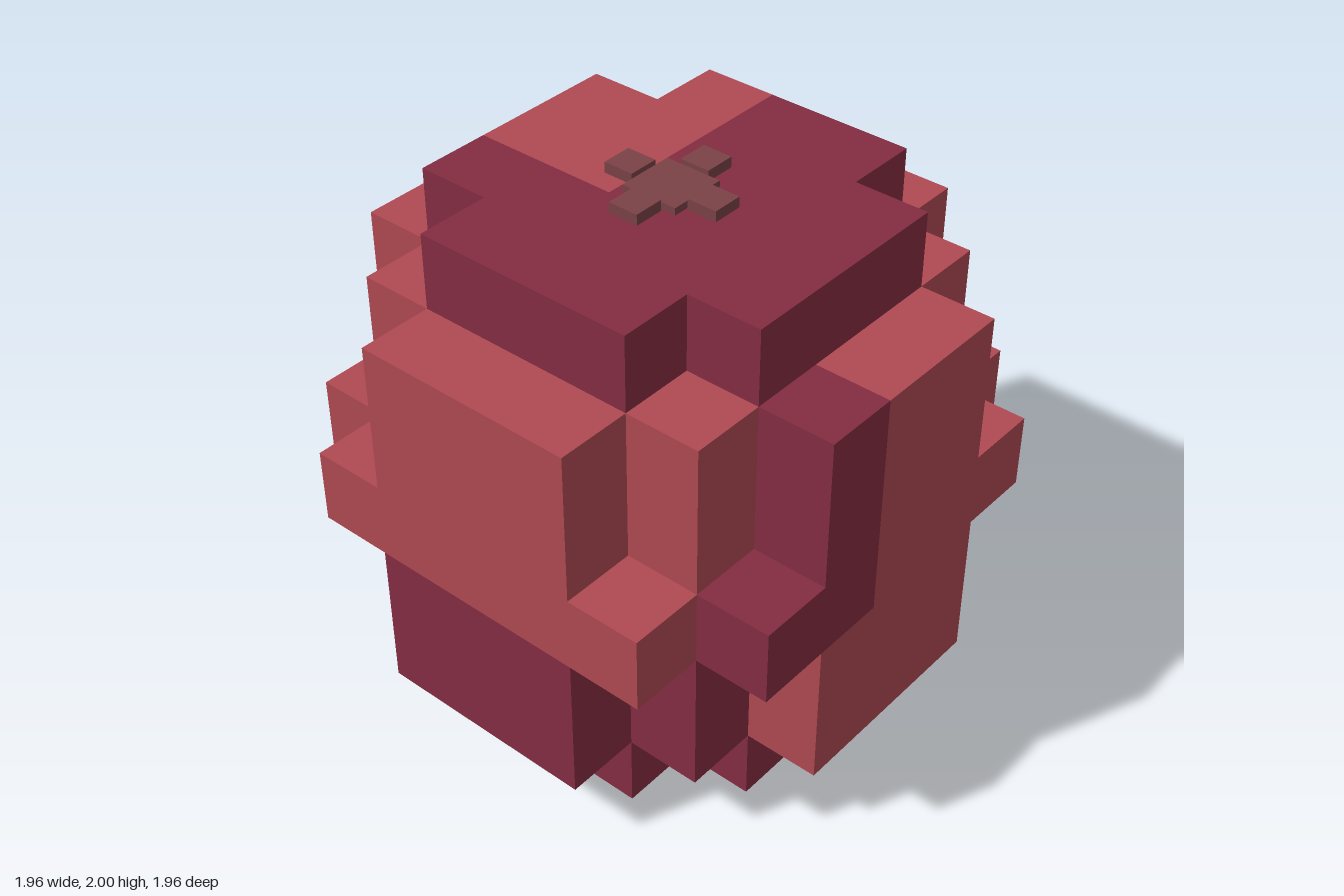
import * as THREE from 'three';
import { mergeGeometries } from 'three/addons/utils/BufferGeometryUtils.js';

const CELL = 0.28;

const lightRed = new THREE.MeshStandardMaterial({ color: 0xb04a52 });
lightRed.name = 'lightRed';
const darkRed = new THREE.MeshStandardMaterial({ color: 0x842d42 });
darkRed.name = 'darkRed';
const stemBrown = new THREE.MeshStandardMaterial({ color: 0x7a4247 });
stemBrown.name = 'stemBrown';

// Which part of the blocky fruit a cell (0..6 on each axis) belongs to, or null when empty
function partAt(x, y, z) {
  const a = Math.abs(x - 3), b = Math.abs(y - 3), c = Math.abs(z - 3);
  if (a <= 2 && b <= 2 && c <= 2) return 'core';
  // top and bottom caps: 5 x 5 without corners
  if (b === 3) return a <= 2 && c <= 2 && a + c < 4 ? (y > 3 ? 'topCap' : 'bottomCap') : null;
  // side panels: three cells wide, five at the waist
  const panel = (d) => b <= 2 && (d <= 1 || (d === 2 && b === 0));
  if (a === 3 && c <= 2 && panel(c)) return x > 3 ? 'leftPanel' : 'rightPanel';
  if (c === 3 && a <= 2 && panel(a)) return z > 3 ? 'frontPanel' : 'backPanel';
  return null;
}

// Two-tone skin pattern
function isLight(x, y, z) {
  if (y === 6) return x <= 2 && z <= 3;
  if (y === 0) return x >= 3 && z <= 3;
  if (y <= 2) return x === 6 || z === 0 || (x === 5 && z === 1);
  return !(x === 6 && (z === 4 || (z === 5 && y === 3)));
}

// Outward directions with the rotation that turns a +z plane to each
const SIDES = [
  [0, 0, 1, 0, 0], [0, 0, -1, 0, Math.PI],
  [1, 0, 0, 0, Math.PI / 2], [-1, 0, 0, 0, -Math.PI / 2],
  [0, 1, 0, -Math.PI / 2, 0], [0, -1, 0, Math.PI / 2, 0],
];

function buildFruit() {
  const fruit = new THREE.Group();
  fruit.name = 'fruit';
  const buckets = new Map();
  for (let x = 0; x < 7; x++) for (let y = 0; y < 7; y++) for (let z = 0; z < 7; z++) {
    const part = partAt(x, y, z);
    if (!part) continue;
    const light = isLight(x, y, z);
    const key = part + (light ? 'Light' : 'Dark');
    for (const [dx, dy, dz, rx, ry] of SIDES) {
      if (partAt(x + dx, y + dy, z + dz)) continue; // hidden face
      const face = new THREE.PlaneGeometry(CELL, CELL);
      face.rotateX(rx).rotateY(ry);
      face.translate(
        (x - 3 + dx / 2) * CELL,
        (y + 0.5 + dy / 2) * CELL,
        (z - 3 + dz / 2) * CELL
      );
      if (!buckets.has(key)) buckets.set(key, { faces: [], material: light ? lightRed : darkRed });
      buckets.get(key).faces.push(face);
    }
  }
  for (const [name, { faces, material }] of buckets) {
    const mesh = new THREE.Mesh(mergeGeometries(faces), material);
    mesh.name = name;
    fruit.add(mesh);
  }
  return fruit;
}

function buildStem() {
  const stem = new THREE.Group();
  stem.name = 'stem';
  const add = (name, w, h, x, z) => {
    const mesh = new THREE.Mesh(new THREE.BoxGeometry(w, h, w), stemBrown);
    mesh.name = name;
    mesh.position.set(x, 7 * CELL + h / 2, z);
    stem.add(mesh);
  };
  // low centre with four raised leaves around it
  add('stemCentre', 0.22, 0.027, 0, 0);
  for (let i = 0; i < 4; i++) {
    const t = (i * Math.PI) / 2;
    add('stemLeaf', 0.116, 0.04, 0.174 * Math.cos(t), 0.174 * Math.sin(t));
  }
  return stem;
}

export function createModel() {
  const model = new THREE.Group();
  model.name = 'blockFruit';
  model.add(buildFruit(), buildStem());
  return model;
}
